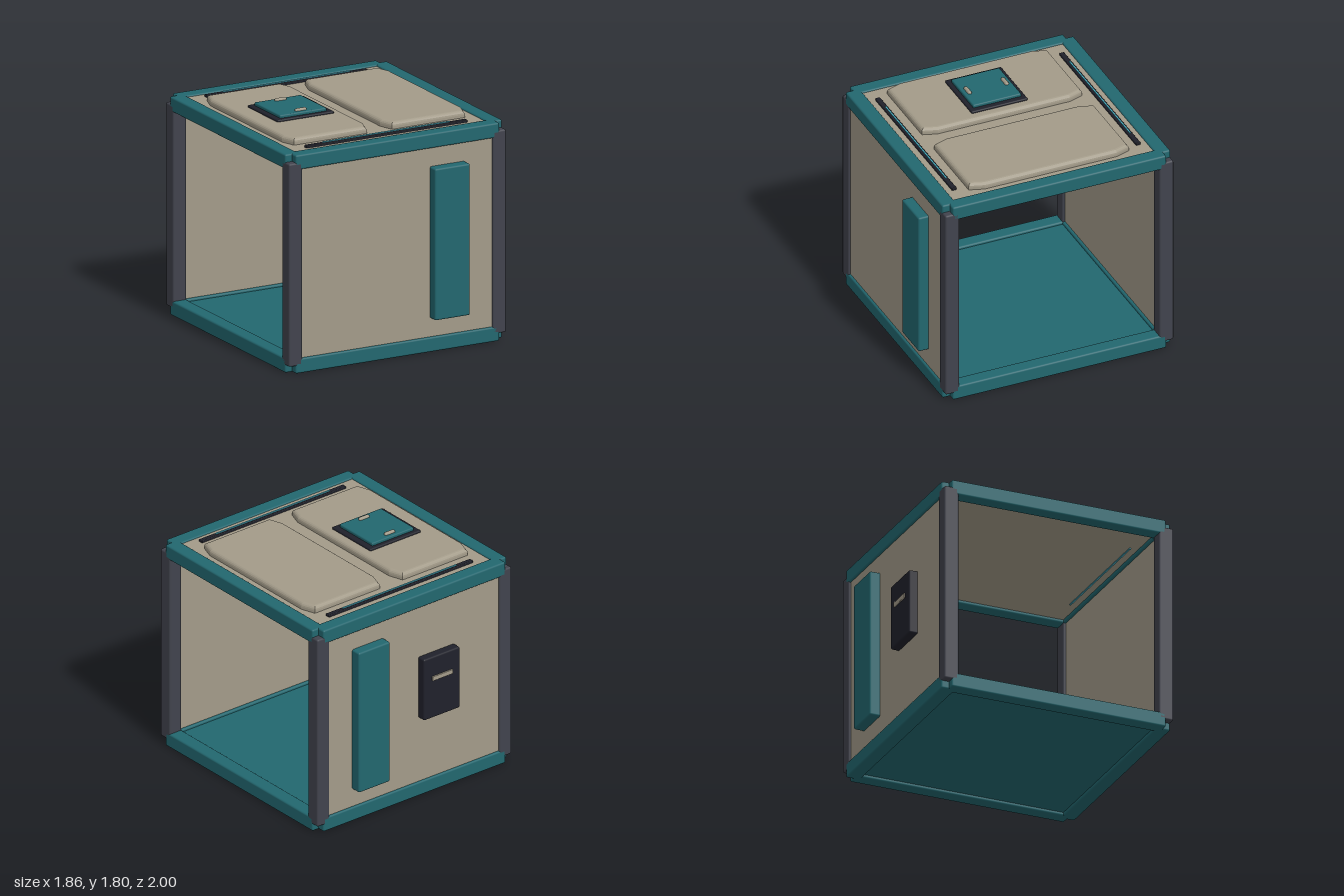
import * as THREE from 'three';
import { RoundedBoxGeometry } from 'three/addons/geometries/RoundedBoxGeometry.js';

const paint = (name, color) => {
  const m = new THREE.MeshStandardMaterial({ color });
  m.name = name;
  return m;
};

export function createModel() {
  const teal = paint('teal', 0x22676f);
  const beige = paint('beige', 0xa39b89);
  const slate = paint('slate grey', 0x41434d);
  const black = paint('near black', 0x20212b);
  const cyan = paint('light cyan', 0x4fb8cc);

  const model = new THREE.Group();
  model.name = 'cargoModule';

  const add = (name, geometry, material) => {
    const mesh = new THREE.Mesh(geometry, material);
    mesh.name = name;
    model.add(mesh);
    return mesh;
  };
  // Box given by its ranges on each axis, with softened edges when r > 0
  const block = (name, material, [x0, x1], [y0, y1], [z0, z1], r = 0) => {
    const size = [x1 - x0, y1 - y0, z1 - z0];
    const g = r ? new RoundedBoxGeometry(...size, 2, r) : new THREE.BoxGeometry(...size);
    add(name, g, material).position.set((x0 + x1) / 2, (y0 + y1) / 2, (z0 + z1) / 2);
  };
  // Range mirrored to the chosen side
  const side = (s, a, b) => (s > 0 ? [a, b] : [-b, -a]);

  // Frame: corner posts and interlocking beams
  for (const s of [-1, 1]) {
    for (const t of [-1, 1]) {
      block('cornerPost', slate, side(s, 0.815, 0.93), [0.06, 1.64], side(t, 0.82, 0.935), 0.014);
    }
    for (const y of [[0, 0.115], [1.585, 1.7]]) {
      block('crossBeam', teal, [-0.872, 0.872], y, side(s, 0.82, 0.935), 0.014);
      block('sideBeam', teal, side(s, 0.815, 0.93), y, [-0.875, 0.875], 0.014);
    }
  }

  // Floor, ceiling and the two solid walls; the x sides stay open
  block('floor', teal, [-0.84, 0.84], [0.025, 0.095], [-0.84, 0.84]);
  block('ceiling', beige, [-0.84, 0.84], [1.61, 1.688], [-0.84, 0.84]);
  for (const s of [-1, 1]) {
    block('wall', beige, [-0.84, 0.84], [0.09, 1.61], side(s, 0.84, 0.918));
    block('wallStripe', teal, [0.285, 0.585], [0.26, 1.44], side(s, 0.9, 1), 0.014);
  }

  // Light strips on the roof and under the ceiling
  for (const s of [-1, 1]) {
    block('lightHousing', black, [-0.69, 0.69], [1.68, 1.707], side(s, 0.735, 0.773), 0.006);
    block('lightStrip', cyan, [-0.545, 0.545], [1.7, 1.714], side(s, 0.748, 0.76));
    block('ceilingLight', cyan, [-0.545, 0.545], [1.602, 1.612], side(s, 0.748, 0.76));
  }

  // Raised roof panels with clipped corners and rounded rims
  const b = 0.03;
  const hx = 0.35 - b, hz = 0.657 - b;
  const outline = new THREE.Shape();
  [[hx, hz - 0.09], [hx - 0.03, hz], [-hx + 0.03, hz], [-hx, hz - 0.09],
    [-hx, -hz + 0.09], [-hx + 0.03, -hz], [hx - 0.03, -hz], [hx, -hz + 0.09]]
    .forEach(([x, y], i) => (i ? outline.lineTo(x, y) : outline.moveTo(x, y)));
  outline.closePath();
  const panel = new THREE.ExtrudeGeometry(outline, {
    depth: 0.02, bevelEnabled: true, bevelSize: b, bevelThickness: b, bevelSegments: 4,
  });
  panel.rotateX(-Math.PI / 2);
  for (const s of [-1, 1]) add('roofPanel', panel, beige).position.set(s * 0.42, 1.69, 0);

  // Roof hatch with two grab handles
  block('hatchFrame', black, [-0.63, -0.145], [1.72, 1.756], [-0.23, 0.23], 0.01);
  block('hatchLid', teal, [-0.59, -0.19], [1.74, 1.78], [-0.197, 0.197], 0.01);
  const handle = new THREE.CapsuleGeometry(0.017, 0.066, 4, 10);
  handle.rotateZ(Math.PI / 2);
  for (const s of [-1, 1]) add('hatchHandle', handle, beige).position.set(-0.39, 1.781, s * 0.152);

  // Control box on the back wall
  block('controlBox', black, [-0.395, -0.05], [0.65, 1.165], [-0.985, -0.9], 0.014);
  block('controlLabelPlate', beige, [-0.32, -0.127], [0.965, 1.003], [-0.995, -0.98], 0.005);

  return model;
}
